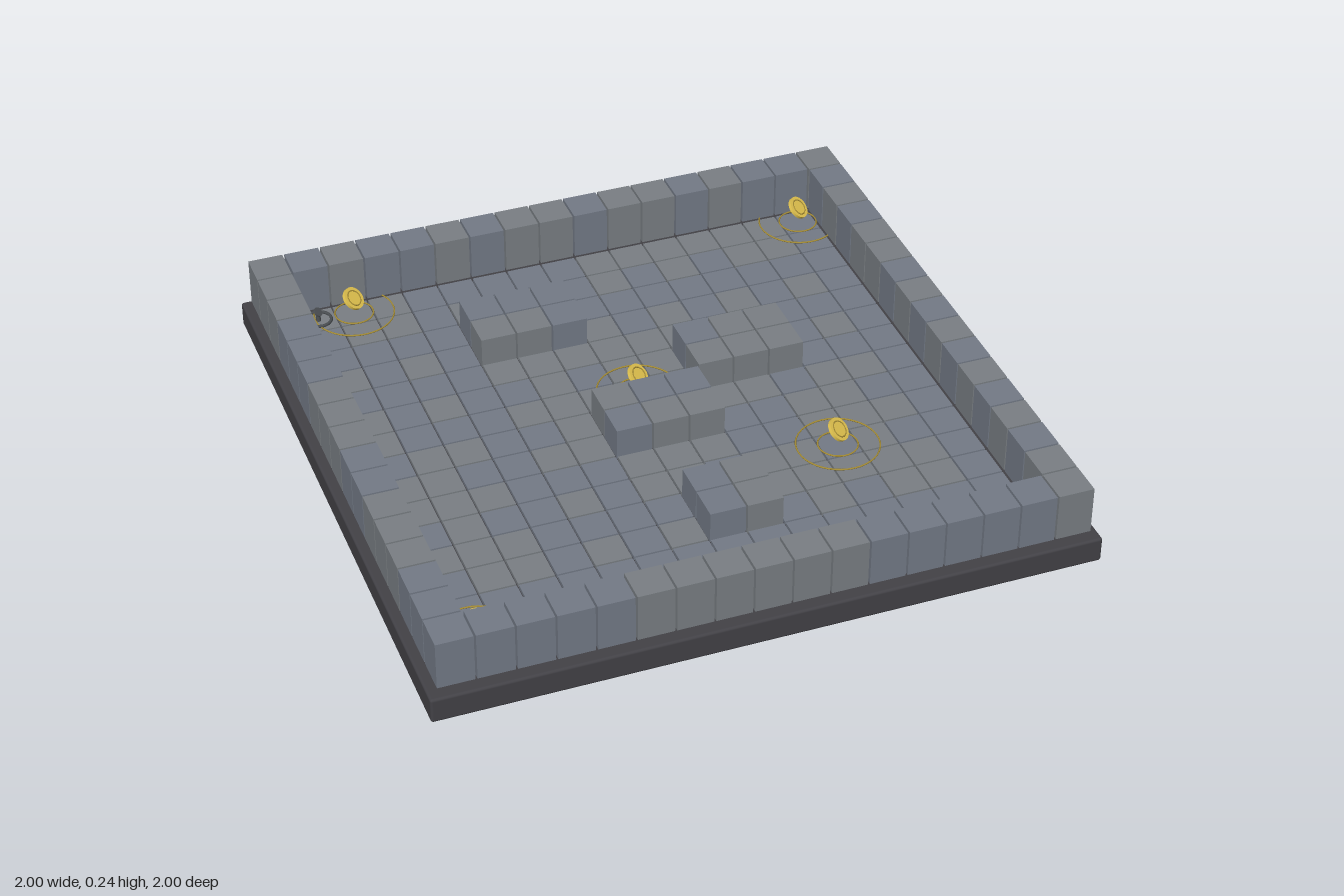
import * as THREE from 'three';
import { RoundedBoxGeometry } from 'three/addons/geometries/RoundedBoxGeometry.js';

const N = 17, CELL = 1.95 / N, GAP = 0.006;
const FLOOR = 0.092;

const mat = (name, color) => {
  const m = new THREE.MeshStandardMaterial({ color });
  m.name = name;
  return m;
};

export function createModel() {
  const stones = [mat('grey stone', 0x7a7f84), mat('blue grey stone', 0x747b87)];
  const slate = mat('dark slate', 0x434247);
  const iron = mat('dark iron', 0x4c5054);
  const gold = mat('gold', 0xe5c650);
  const oldGold = mat('old gold', 0xa88f36);

  const model = new THREE.Group();
  model.name = 'tileBoard';

  const add = (parent, name, geo, material, x, y, z) => {
    const m = new THREE.Mesh(geo, material);
    m.name = name;
    m.position.set(x, y, z);
    parent.add(m);
    return m;
  };
  const group = (name, x = 0, y = 0, z = 0) => {
    const g = new THREE.Group();
    g.name = name;
    g.position.set(x, y, z);
    model.add(g);
    return g;
  };
  // Repeatable choice between the two stone tints
  const tint = (i, j) => stones[((i * 7 + j * 13 + i * j * 5) % 11) < 6 ? 0 : 1];
  const at = (i) => (i - (N - 1) / 2) * CELL;

  // Base slab with softened edges
  add(model, 'baseSlab', new RoundedBoxGeometry(2, 0.08, 2, 2, 0.008), slate, 0, 0.04, 0);

  // Inner wall blocks: [first column, last column, first row, last row]
  const inner = [[5, 7, 3, 4], [10, 12, 6, 7], [7, 9, 8, 9], [8, 9, 12, 13]];
  const isInner = (i, j) => inner.some(([a, b, c, d]) => i >= a && i <= b && j >= c && j <= d);

  const side = CELL - GAP;
  const tileGeo = new THREE.BoxGeometry(side, FLOOR - 0.079, side);
  const outerGeo = new THREE.BoxGeometry(side, 0.151, side);
  const innerGeo = new THREE.BoxGeometry(side, 0.088, side);
  const floor = group('floorTiles');
  const border = group('borderWall');
  const islands = group('innerWalls');
  for (let i = 0; i < N; i++) {
    for (let j = 0; j < N; j++) {
      const edge = i === 0 || j === 0 || i === N - 1 || j === N - 1;
      if (edge) {
        add(border, 'borderBlock', outerGeo, tint(i, j), at(i), 0.1695, at(j));
        continue;
      }
      add(floor, 'floorTile', tileGeo, tint(i, j), at(i), (FLOOR + 0.079) / 2, at(j));
      if (isInner(i, j)) add(islands, 'innerBlock', innerGeo, tint(i, j), at(i), FLOOR + 0.044, at(j));
    }
  }

  // Flat ring lying on the floor
  const ring = (parent, name, r, tube, material) => {
    const m = add(parent, name, new THREE.TorusGeometry(r, tube, 6, 40), material, 0, tube, 0);
    m.rotation.x = Math.PI / 2;
  };
  const tilt = new THREE.Quaternion().setFromUnitVectors(
    new THREE.Vector3(0, 1, 0), new THREE.Vector3(1, 1.4, 1).normalize());

  // Floating gold discs over their floor rings
  for (const [i, j] of [[2, 1], [15, 1], [8, 7], [12, 11], [1, 15]]) {
    const col = i === 2 ? 2 : i;
    const g = group('goldMarker', at(col), FLOOR, at(j));
    ring(g, 'outerRing', 0.125, 0.0025, oldGold);
    ring(g, 'innerRing', 0.06, 0.0025, oldGold);
    const disc = new THREE.Group();
    disc.name = 'goldDisc';
    disc.position.y = 0.055;
    disc.quaternion.copy(tilt);
    g.add(disc);
    add(disc, 'discBody', new THREE.CylinderGeometry(0.037, 0.037, 0.01, 24), gold, 0, 0, 0);
    for (const s of [-1, 1]) {
      const rim = add(disc, 'discRim', new THREE.TorusGeometry(0.025, 0.002, 6, 24), oldGold, 0, s * 0.005, 0);
      rim.rotation.x = Math.PI / 2;
    }
  }

  // Iron rings with a small leaning peg
  for (const [i, j] of [[1, 1], [15, 15]]) {
    const g = group('ironMarker', at(i), FLOOR, at(j));
    ring(g, 'ironRing', 0.04, 0.005, iron);
    add(g, 'pegPost', new THREE.CylinderGeometry(0.006, 0.008, 0.03, 10), iron, 0, 0.015, 0);
    const cap = add(g, 'pegCap', new THREE.CylinderGeometry(0.015, 0.015, 0.006, 16), iron, 0, 0.032, 0);
    cap.quaternion.copy(tilt);
  }
  return model;
}
